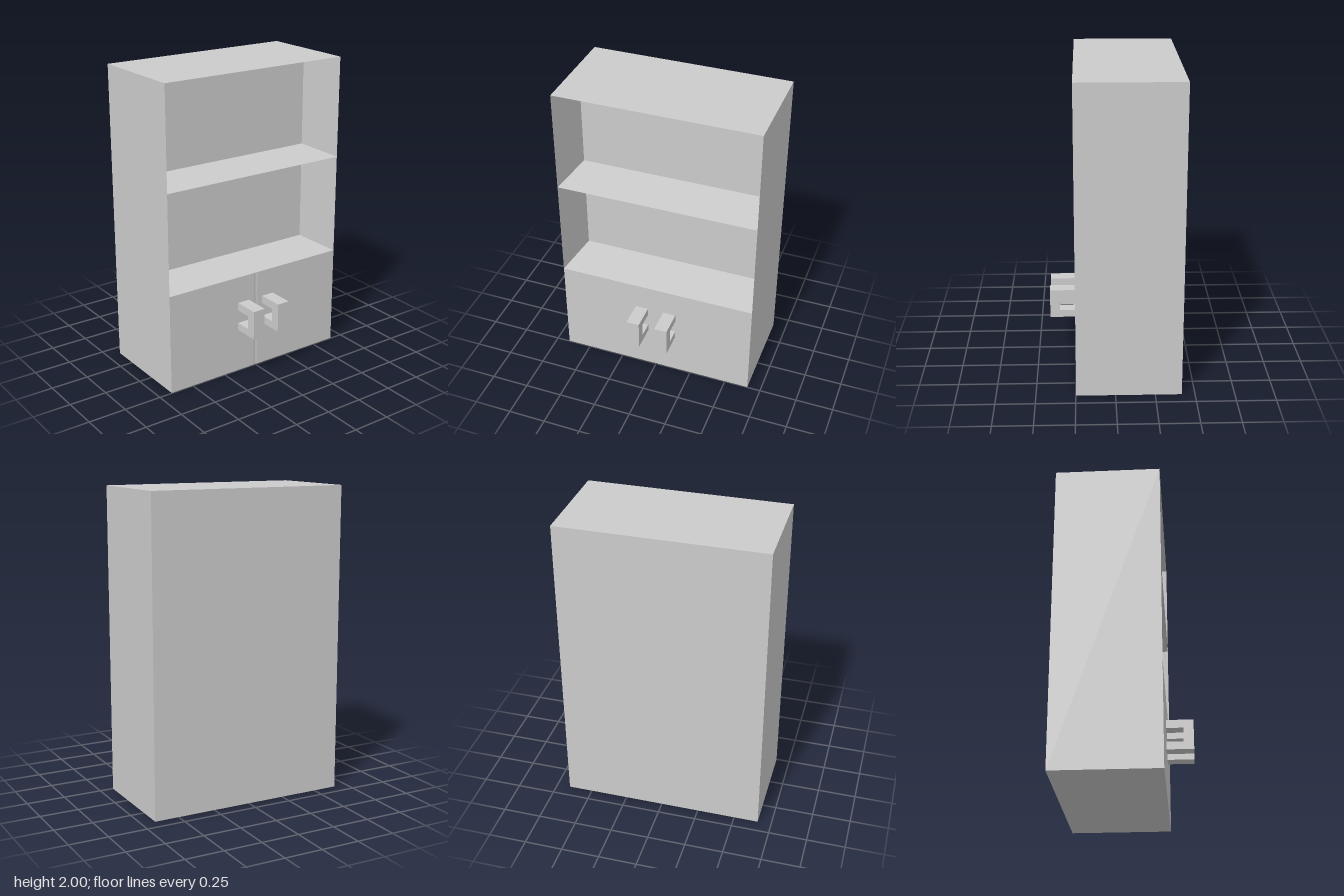
import * as THREE from 'three';

const W = 0.66, H = 2, BACK = -0.417, FRONT = 0.247, RECESS = -0.06;
const LEVEL = H / 3;
const material = new THREE.MeshStandardMaterial({ color: 0xcccccc, flatShading: true });

// Mesh from four-cornered faces, corners counter-clockwise as seen from outside
function quadMesh(name, quads) {
  const positions = [];
  for (const [a, b, c, d] of quads) positions.push(...a, ...b, ...c, ...a, ...c, ...d);
  const geometry = new THREE.BufferGeometry();
  geometry.setAttribute('position', new THREE.Float32BufferAttribute(positions, 3));
  geometry.computeVertexNormals();
  const mesh = new THREE.Mesh(geometry, material);
  mesh.name = name;
  return mesh;
}

// Corners of a rectangle facing +z
const rect = (x, y0, y1, z) => [[-x, y0, z], [x, y0, z], [x, y1, z], [-x, y1, z]];

// Outer shell: sides, top, bottom and back
function createCarcass() {
  const f = rect(W, 0, H, FRONT), b = rect(W, 0, H, BACK);
  const quads = f.map((_, i) => {
    const j = (i + 1) % 4;
    return [f[i], b[i], b[j], f[j]];
  });
  quads.push([...b].reverse());
  return quadMesh('carcass', quads);
}

// Open compartment whose walls taper to a thin edge at the front
function createCompartment(name, y0, y1) {
  const f = rect(W, y0, y1, FRONT), b = rect(W - 0.05, y0 + 0.027, y1 - 0.025, RECESS);
  const quads = f.map((_, i) => {
    const j = (i + 1) % 4;
    return [f[i], f[j], b[j], b[i]];
  });
  quads.push(b);
  return quadMesh(name, quads);
}

// Door fronts meeting in a very shallow seam
function createDoors() {
  const profile = [[-W, FRONT], [-0.015, FRONT], [0, FRONT - 0.003], [0.015, FRONT], [W, FRONT]];
  const quads = [];
  for (let i = 0; i < profile.length - 1; i++) {
    const [x0, z0] = profile[i], [x1, z1] = profile[i + 1];
    quads.push([[x0, 0, z0], [x1, 0, z1], [x1, LEVEL, z1], [x0, LEVEL, z0]]);
  }
  return quadMesh('doors', quads);
}

// C-shaped handle, its side profile extruded across x
function createHandle(name, x) {
  const z = FRONT, shape = new THREE.Shape([
    [z, 0.295], [0.417, 0.295], [0.417, 0.488], [z, 0.488],
    [z, 0.435], [0.353, 0.435], [0.353, 0.345], [z, 0.345],
  ].map(([u, y]) => new THREE.Vector2(-u, y)));
  const geometry = new THREE.ExtrudeGeometry(shape, { depth: 0.086, bevelEnabled: false });
  geometry.translate(0, 0, -0.043);
  geometry.rotateY(Math.PI / 2);
  const mesh = new THREE.Mesh(geometry, material);
  mesh.name = name;
  mesh.position.x = x;
  return mesh;
}

export function createModel() {
  const group = new THREE.Group();
  group.name = 'cabinet';
  group.add(
    createCarcass(),
    createCompartment('lowerCompartment', LEVEL, 2 * LEVEL),
    createCompartment('upperCompartment', 2 * LEVEL, H),
    createDoors(),
    createHandle('rightHandle', -0.098),
    createHandle('leftHandle', 0.096),
  );
  return group;
}
